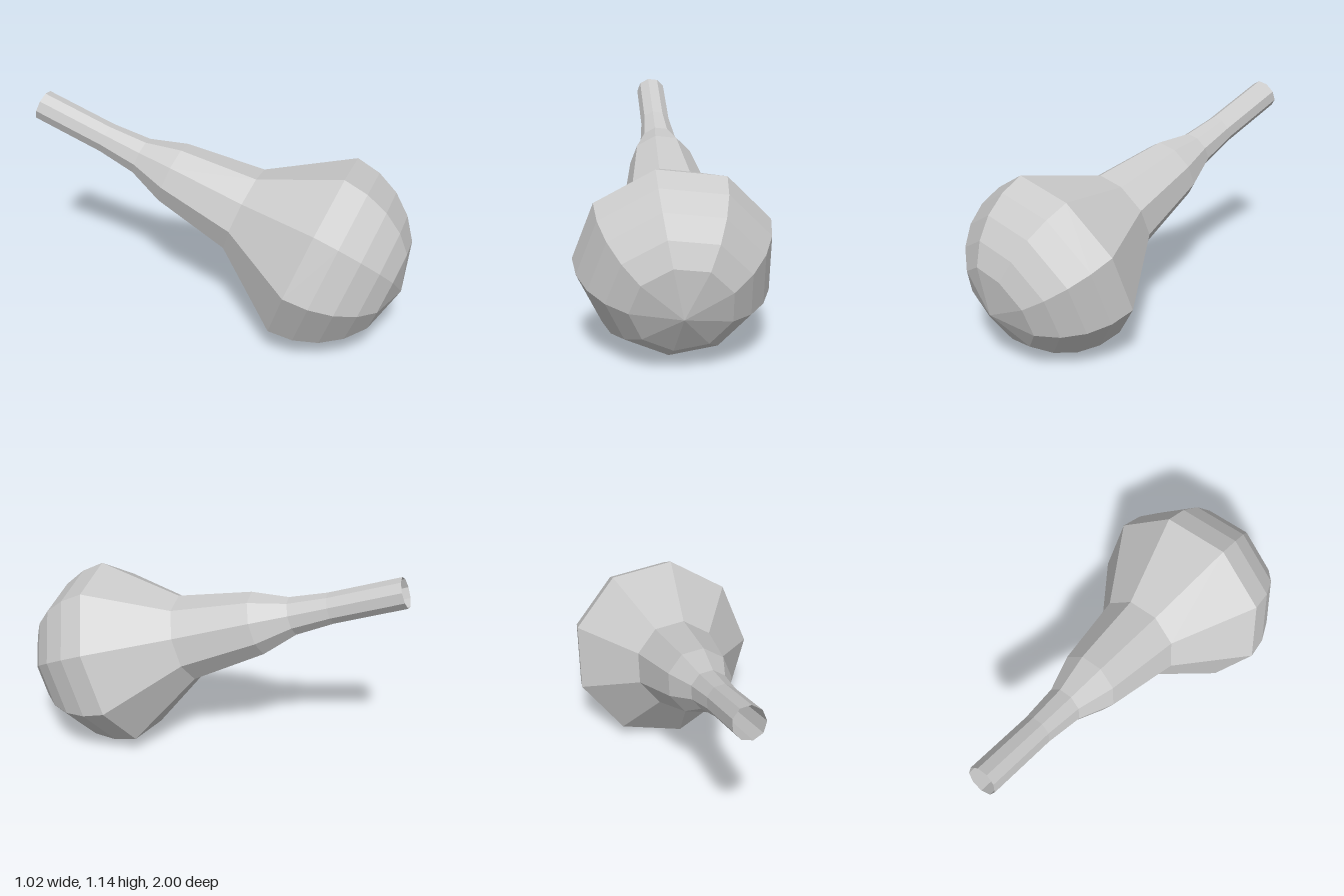
import * as THREE from 'three';

const SIDES = 9;
const RADIUS = 0.508;

export function createModel() {
  const model = new THREE.Group();
  model.name = 'bulbFlask';
  const material = new THREE.MeshStandardMaterial({
    color: 0xcccccc, flatShading: true, side: THREE.DoubleSide,
  });

  // Turned part: profile pairs are [radius, distance along the axis]
  const turned = (name, profile) => {
    const points = profile.map(([r, t]) => new THREE.Vector2(r, t));
    const mesh = new THREE.Mesh(new THREE.LatheGeometry(points, SIDES), material);
    mesh.name = name;
    return mesh;
  };

  // Rounded half of the bulb, from the pole to the widest ring
  const dome = [0, 30, 45, 60, 75, 90].map((deg) => {
    const a = THREE.MathUtils.degToRad(deg);
    return [RADIUS * Math.sin(a), -RADIUS * Math.cos(a)];
  });

  // Shoulder tapering into the slim neck, open at the end
  const shoulder = [[RADIUS, 0], [0.235, 0.405]];
  const neck = [[0.235, 0.405], [0.171, 0.825], [0.102, 1.02], [0.083, 1.23], [0.082, 1.625]];

  const body = new THREE.Group();
  body.name = 'body';
  body.add(turned('bulb', dome), turned('shoulder', shoulder), turned('neck', neck));

  // Tilt the turning axis up and back, with a ring corner facing the right side
  const axis = new THREE.Vector3(-0.276, 0.347, -0.897).normalize();
  const corner = new THREE.Vector3(-0.487, -0.015, 0.144);
  corner.addScaledVector(axis, -corner.dot(axis)).normalize();
  const across = new THREE.Vector3().crossVectors(axis, corner);
  body.quaternion.setFromRotationMatrix(new THREE.Matrix4().makeBasis(across, axis, corner));
  body.position.set(0.017, 0.505, 0.496);

  model.add(body);
  return model;
}
